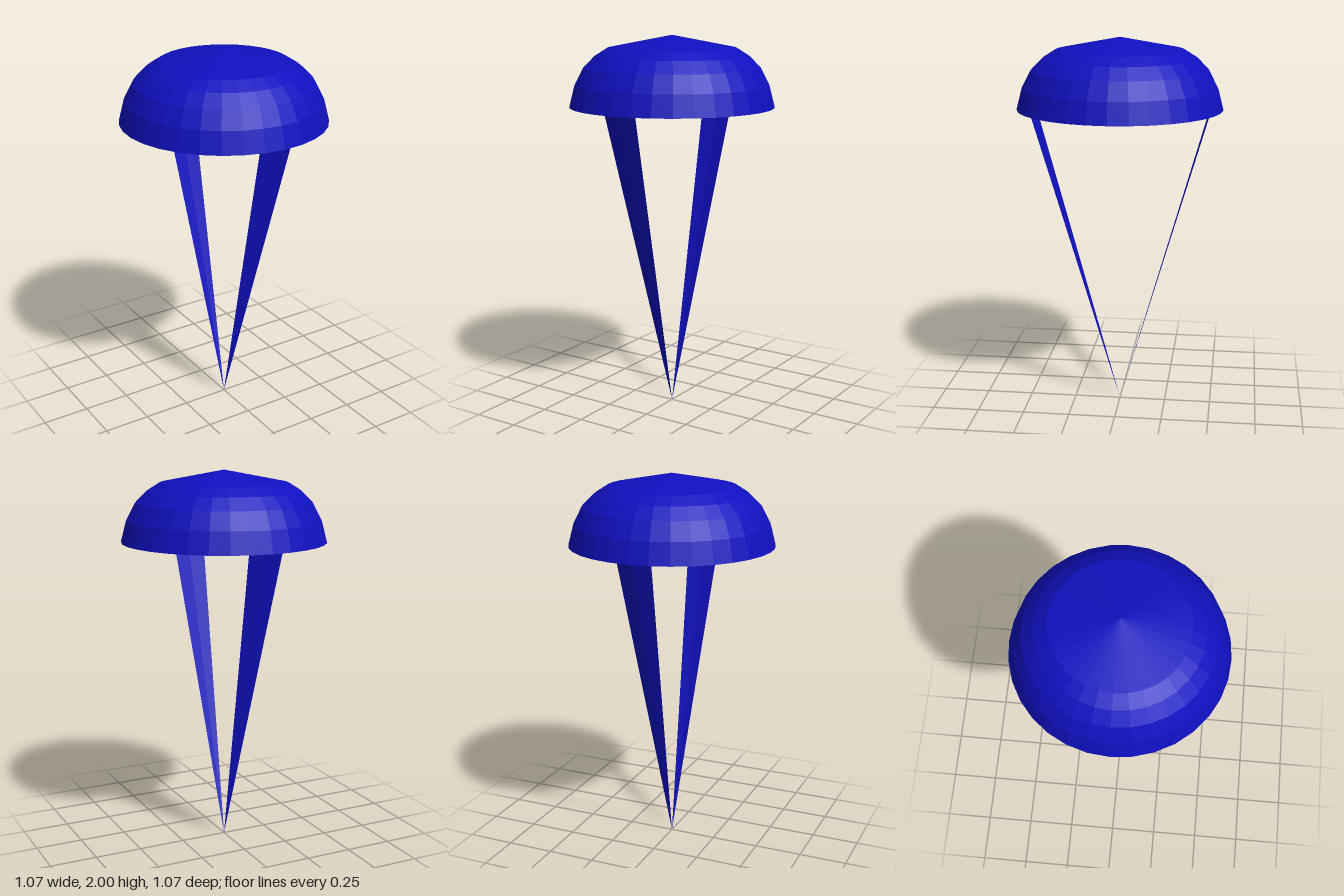
import * as THREE from 'three';

export function createModel() {
  const model = new THREE.Group();
  const blue = new THREE.MeshStandardMaterial({ color: 0x1010c0 });
  blue.name = 'deep blue';
  blue.flatShading = true;
  blue.side = THREE.DoubleSide;

  // Hollow 32-sided dome with a shallow conical cap, listed rim to apex
  const profile = [
    [0.536, 1.632], [0.507, 1.743], [0.46, 1.833],
    [0.4, 1.893], [0.333, 1.935], [0, 2],
  ].map(([r, y]) => new THREE.Vector2(r, y));
  const canopy = new THREE.Mesh(new THREE.LatheGeometry(profile, 32), blue);
  canopy.name = 'canopy';
  model.add(canopy);

  // Front and back straps: two-facet slices of a cone, meeting at a point below
  const step = Math.PI / 16;
  const height = 1.743;
  for (const [name, angle] of [['frontStrap', 0], ['backStrap', Math.PI]]) {
    const slice = new THREE.CylinderGeometry(0.507, 0, height, 2, 1, true, angle - step, 2 * step);
    const strap = new THREE.Mesh(slice, blue);
    strap.name = name;
    strap.position.y = height / 2;
    model.add(strap);
  }
  return model;
}
